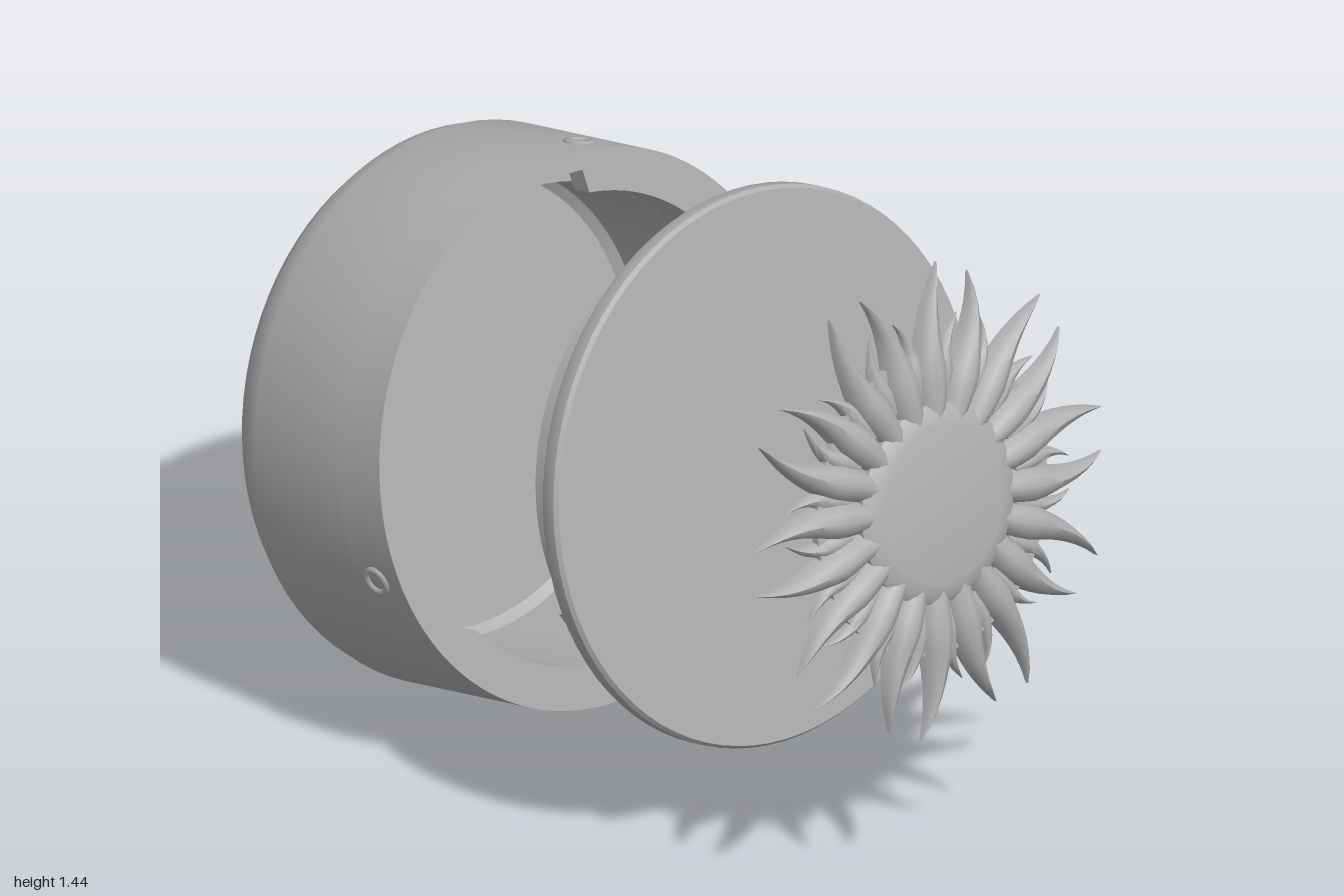
import * as THREE from 'three';
import { toCreasedNormals } from 'three/addons/utils/BufferGeometryUtils.js';

const stone = new THREE.MeshStandardMaterial({ color: 0xb0b0b0 });
stone.name = 'plain grey';
const THIRDS = [0, 1, 2].map((i) => (i * Math.PI * 2) / 3);
const deg = Math.PI / 180;

function add(parent, name, geometry) {
  const mesh = new THREE.Mesh(geometry, stone);
  mesh.name = name;
  parent.add(mesh);
  return mesh;
}

// Turned part whose axis is z; profile pairs are [radius, z]
function turned(profile) {
  const g = new THREE.LatheGeometry(profile.map(([r, z]) => new THREE.Vector2(r, z)), 80);
  g.rotateX(Math.PI / 2);
  // rotateX sends y to z; creases keep the rims sharp
  return toCreasedNormals(g, 0.6);
}

// Sets a part on a cylinder wall: its z points outwards, its y along the axis
function onWall(mesh, angle, radius, z) {
  const c = Math.cos(angle), s = Math.sin(angle);
  mesh.matrixAutoUpdate = true;
  mesh.quaternion.setFromRotationMatrix(new THREE.Matrix4().makeBasis(
    new THREE.Vector3(-s, c, 0), new THREE.Vector3(0, 0, 1), new THREE.Vector3(c, s, 0)));
  mesh.position.set(c * radius, s * radius, z);
}

// Ring layer of the box mouth, with three lock notches on the inside
function notchedRing(from, to, depth) {
  const shape = new THREE.Shape().absarc(0, 0, 0.64, 0, Math.PI * 2);
  const hole = [];
  for (let i = 0; i < 180; i++) {
    const a = i * 2;
    const k = a % 120;
    const wide = k >= from % 120 && k <= to % 120;
    const r = wide ? 0.595 : 0.54;
    hole.push(new THREE.Vector2(Math.cos(a * deg) * r, Math.sin(a * deg) * r));
  }
  shape.holes.push(new THREE.Path(hole));
  return toCreasedNormals(
    new THREE.ExtrudeGeometry(shape, { depth, bevelEnabled: false, curveSegments: 80 }), 0.6);
}

function makeBox() {
  const box = new THREE.Group();
  box.name = 'roundBox';
  add(box, 'boxBody', turned([
    [0, -0.52], [0.565, -0.52], [0.6, -0.5], [0.627, -0.46], [0.64, -0.41], [0.64, -0.14],
    [0.54, -0.14], [0.54, -0.41], [0.52, -0.43], [0, -0.43],
  ]));
  add(box, 'lockChannel', notchedRing(70, 98, 0.09)).position.z = -0.14;
  add(box, 'boxRim', notchedRing(82, 98, 0.05)).position.z = -0.05;
  // small pin marks on the outer wall
  for (const t of THIRDS) {
    const mark = add(box, 'pinMark', new THREE.TorusGeometry(0.03, 0.009, 6, 16));
    onWall(mark, 76 * deg + t, 0.638, -0.08);
  }
  return box;
}

function makeLid() {
  const lid = new THREE.Group();
  lid.name = 'lid';
  add(lid, 'lidBody', turned([
    [0, -0.05], [0.46, -0.05], [0.46, -0.2], [0.47, -0.21], [0.51, -0.21], [0.52, -0.2],
    [0.52, -0.05], [0.635, -0.05], [0.64, -0.042], [0.64, -0.01], [0.633, 0], [0, 0],
  ]));
  // square lock pads with a round socket
  const pad = new THREE.Shape([[-1, -1], [1, -1], [1, 1], [-1, 1]]
    .map(([x, y]) => new THREE.Vector2(x * 0.065, y * 0.065)));
  pad.holes.push(new THREE.Path().absarc(0, 0, 0.038, 0, Math.PI * 2, true));
  const padGeometry = new THREE.ExtrudeGeometry(pad, { depth: 0.045, bevelEnabled: false });
  for (const t of THIRDS) {
    onWall(add(lid, 'lockPad', padGeometry), 90 * deg + t, 0.5, -0.125);
    const pin = add(lid, 'lockPin', new THREE.SphereGeometry(0.022, 12, 8));
    onWall(pin, 90 * deg + t, 0.518, -0.125);
  }
  return lid;
}

// Flame: domed in front, flat behind, swelling then running to a curled tip
function flame(inner, outer, width, height, curl) {
  const g = new THREE.CylinderGeometry(1, 1, 1, 12, 10);
  const p = g.attributes.position;
  for (let i = 0; i < p.count; i++) {
    const t = p.getY(i) + 0.5;
    const swell = t < 0.3 ? 0.75 + 0.25 * Math.sin((t / 0.3) * Math.PI / 2)
      : Math.pow(1 - (t - 0.3) / 0.7, 1.05) + 0.015;
    const bend = curl * (t * t * t - 0.5 * Math.sin(t * Math.PI) * t);
    p.setXYZ(i, p.getX(i) * width * swell + bend, inner + (outer - inner) * t,
      Math.max(0, p.getZ(i)) * height * Math.sqrt(swell));
  }
  return toCreasedNormals(g, 0.8);
}

function makeSun() {
  const sun = new THREE.Group();
  sun.name = 'sunOrnament';
  add(sun, 'sunBack', turned([[0, -0.025], [0.35, -0.025], [0.35, -0.005], [0, -0.005]]));
  add(sun, 'sunFace', turned([
    [0, -0.02], [0.23, -0.02], [0.23, 0.012], [0.215, 0.025], [0.18, 0.032], [0, 0.035]]));
  const count = 20;
  for (let i = 0; i < count; i++) {
    const angle = ((i + 0.5) / count) * Math.PI * 2;
    const side = i % 2 ? 1 : -1;
    // main flame, with its tip curling to alternate sides
    const ray = add(sun, 'longFlame',
      flame(0.2, i % 2 ? 0.545 : 0.525, 0.045, 0.062, side * 0.035));
    ray.rotation.z = angle;
    ray.position.z = -0.025;
    // little flame in the gap
    const small = add(sun, 'shortFlame', flame(0.25, 0.43, 0.028, 0.035, -side * 0.03));
    small.rotation.z = angle + Math.PI / count;
    small.position.z = -0.025;
  }
  return sun;
}

export function createModel() {
  const model = new THREE.Group();
  model.name = 'sunBox';

  // Parts lie apart along one shared axis, tilted a little upwards
  const axis = new THREE.Vector3(0.61, 0.19, 0.77).normalize();
  const side = new THREE.Vector3(0, 1, 0).cross(axis).normalize();
  const up = axis.clone().cross(side);
  const assembly = new THREE.Group();
  assembly.name = 'openedBox';
  assembly.quaternion.setFromRotationMatrix(new THREE.Matrix4().makeBasis(side, up, axis));
  assembly.position.set(0.19, 0.82, 0.21);

  const box = makeBox();
  box.position.z = -0.587;
  const sun = makeSun();
  sun.position.z = 0.555;
  assembly.add(box, makeLid(), sun);
  model.add(assembly);
  return model;
}
